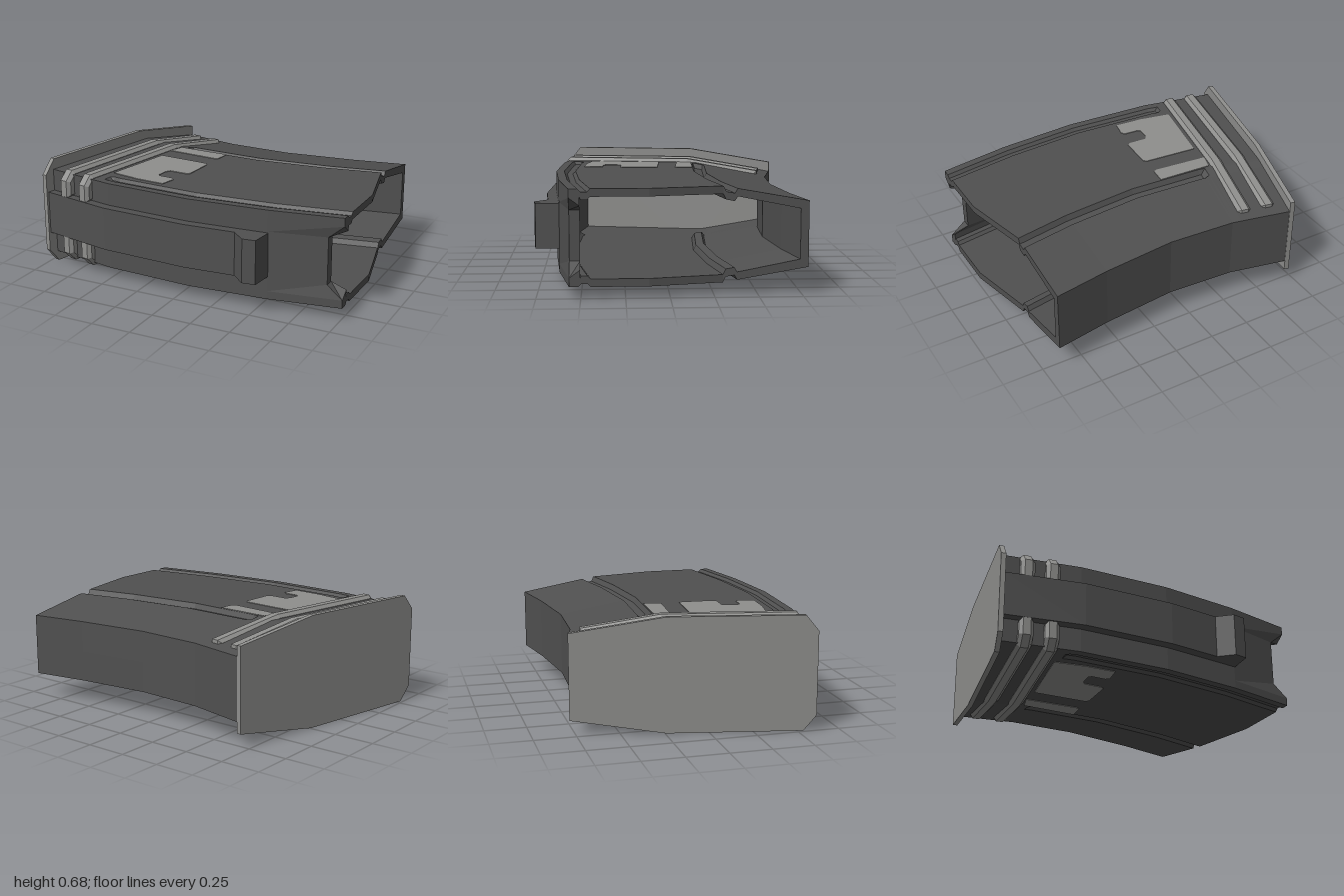
import * as THREE from 'three';

const MID = 0.343; // height of the symmetry plane

// Slab drawn in plan as [x, z] points, extruded downwards from yTop
function slab(points, yTop, depth) {
  const shape = new THREE.Shape(points.map(([x, z]) => new THREE.Vector2(x, z)));
  const geo = new THREE.ExtrudeGeometry(shape, { depth, bevelEnabled: false });
  geo.rotateX(Math.PI / 2);
  geo.translate(0, yTop, 0);
  return geo;
}

// Profile of [distance, height] points standing on a slanted line running from front to back
function slanted(points, from, to, depth, bevel) {
  const shape = new THREE.Shape(points.map(([p, y]) => new THREE.Vector2(p, y)));
  const geo = new THREE.ExtrudeGeometry(shape, {
    depth, bevelEnabled: bevel > 0, bevelThickness: bevel, bevelSize: bevel, bevelOffset: -bevel, bevelSegments: 1,
  });
  geo.rotateY(Math.atan2(from[1] - to[1], to[0] - from[0]));
  geo.translate(from[0], MID, from[1]);
  return geo;
}

// Curved hollow casing: one cross-section lofted along the front and back curves
function casingGeometry() {
  const front = [[-0.97, 0.55], [-0.5, 0.64], [0.06, 0.67], [0.56, 0.635], [1, 0.565]];
  const back = [[-0.7, -0.78], [-0.32, -0.7], [0.1, -0.68], [0.56, -0.73], [0.905, -0.79]];
  // [fraction front to back, half height, x at the open end, groove number]
  const half = [
    [0, 0, 0.905], [0, 0.145, 0.905], [0, 0.225, 1], [0, 0.275, 1],
    [0.037, 0.275, 1], [0.05, 0.275, 1, 1], [0.076, 0.275, 1, 1], [0.089, 0.275, 1],
    [0.33, 0.275, 1], [0.64, 0.275, 0.905], [0.652, 0.273, 0.905, 2], [0.688, 0.264, 0.905, 2],
    [0.7, 0.261, 0.905], [1, 0.19, 0.905], [1, 0, 0.905],
  ];
  const ring = [
    ...half.map((p) => [...p, 1]),
    ...half.slice(1, -1).reverse().map((p) => [...p, -1]),
  ].map((p) => ({ t: p[0], h: p[1], end: p[2], groove: p.length > 4 ? p[3] : 0, side: p[p.length - 1] }));
  const stations = [0, 0.85, 0.9, 0.97, 1, 2, 3, 4];
  const at = (curve, s, k) => {
    const i = Math.min(3, Math.floor(s));
    return THREE.MathUtils.lerp(curve[i][k], curve[i + 1][k], s - i);
  };
  const point = (s, p, inner) => {
    let h = p.h;
    if (p.groove === 1 && s >= 0.9) h -= 0.018;
    if (p.groove === 2 && s >= 0.97) h -= 0.03;
    if (inner && p.h > 0.15) h -= 0.045;
    const t = inner ? THREE.MathUtils.clamp(p.t, 0.045, 0.965) : p.t;
    const x = s === 4 ? p.end : THREE.MathUtils.lerp(at(front, s, 0), at(back, s, 0), t);
    const z = THREE.MathUtils.lerp(at(front, s, 1), at(back, s, 1), t);
    return [x, MID + h * p.side, z];
  };
  const pos = [];
  const quad = (a, b, c, d) => pos.push(...a, ...b, ...c, ...a, ...c, ...d);
  ring.forEach((p, i) => {
    const q = ring[(i + 1) % ring.length];
    for (let k = 0; k < stations.length - 1; k++) {
      const s = stations[k], e = stations[k + 1];
      quad(point(s, p), point(e, p), point(e, q), point(s, q));
      quad(point(s, p, true), point(s, q, true), point(e, q, true), point(e, p, true));
    }
    // rim of the open end
    quad(point(4, p), point(4, p, true), point(4, q, true), point(4, q));
  });
  const geo = new THREE.BufferGeometry();
  geo.setAttribute('position', new THREE.Float32BufferAttribute(pos, 3));
  geo.computeVertexNormals();
  return geo;
}

export function createModel() {
  const model = new THREE.Group();
  model.name = 'curvedMagazine';
  const dark = new THREE.MeshStandardMaterial({ color: 0x505050 });
  dark.name = 'darkGrey';
  const light = new THREE.MeshStandardMaterial({ color: 0x8f8f8d });
  light.name = 'lightGrey';
  const add = (name, geo, mat) => {
    const mesh = new THREE.Mesh(geo, mat);
    mesh.name = name;
    model.add(mesh);
  };

  add('casing', casingGeometry(), dark);

  // Spine along the front with its catch
  add('frontSpine', slab([
    [-0.975, 0.6], [-0.5, 0.7], [0.06, 0.73], [0.385, 0.708], [0.47, 0.785], [0.55, 0.775], [0.565, 0.64],
    [0.56, 0.61], [0.06, 0.645], [-0.5, 0.615], [-0.96, 0.53],
  ], 0.48, 0.27), dark);

  // Base plate closing the slanted end
  const plate = [[0, 0.25], [0.075, 0.342], [0.87, 0.342], [1.424, 0.255]];
  const plateOutline = [...plate, ...plate.map(([p, y]) => [p, -y]).reverse()];
  add('basePlate', slanted(plateOutline, [-1, 0.61], [-0.715, -0.785], 0.03, 0), light);

  // Two raised bands on each broad face, wrapping onto the front
  const band = [
    [0, 0.13], [0, 0.24], [0.055, 0.298], [0.865, 0.298], [1.34, 0.222],
    [1.34, 0.17], [0.87, 0.245], [0.09, 0.245], [0.09, 0.13],
  ];
  const bandLines = [[[-0.875, 0.625], [-0.63, -0.715]], [[-0.725, 0.65], [-0.475, -0.685]]];
  // Pale panels on each broad face
  const panels = [
    [[-0.46, -0.215], [-0.12, -0.2], [-0.13, -0.1], [-0.15, -0.09], [-0.49, -0.12]],
    [[-0.49, 0], [-0.15, 0.025], [-0.135, 0.045], [-0.145, 0.25], [-0.165, 0.265], [-0.28, 0.26], [-0.3, 0.29],
      [-0.305, 0.36], [-0.29, 0.375], [-0.2, 0.38], [-0.18, 0.4], [-0.2, 0.5], [-0.38, 0.488], [-0.575, 0.45]],
  ];
  for (const side of [1, -1]) {
    const label = side > 0 ? 'upper' : 'lower';
    for (const [from, to] of bandLines) {
      add(label + 'Band', slanted(band.map(([p, y]) => [p, y * side]), from, to, 0.045, 0.02)
        .translate(0.02, 0, 0), light);
    }
    for (const panel of panels) {
      add(label + 'Panel', slab(panel, side > 0 ? MID + 0.279 : MID - 0.273, 0.006), light);
    }
  }
  return model;
}
